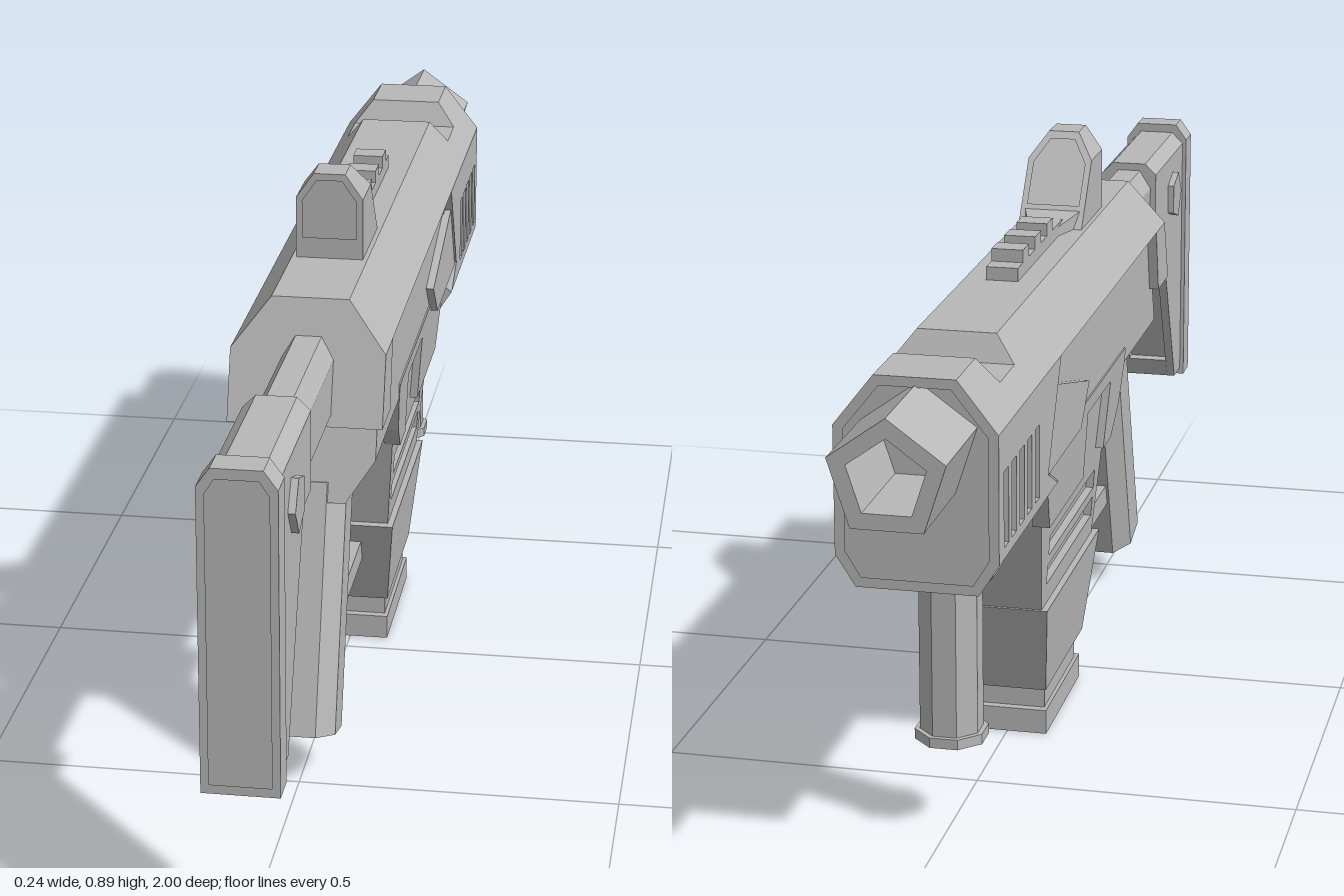
import * as THREE from 'three';

const grey = new THREE.MeshStandardMaterial({ color: 0xb8b8b8 });
grey.name = 'grey';

// Mirrored ring from half points [x, v]; place(x, v) gives the 3D position
const ring = (half, place) => [
  ...half.map(([x, v]) => place(x, v)),
  ...half.slice().reverse().map(([x, v]) => place(-x, v)),
];
// Ring standing upright at z (number or function of y)
const upright = (half, z) => ring(half, (x, y) => [x, y, typeof z === 'function' ? z(y) : z]);
// Flat rectangle at height y
const level = (y, z0, z1, x) => ring([[x, z0], [x, z1]], (px, z) => [px, y, z]);

// Closed faceted solid through rings of equal length
function loft(rings) {
  const tris = [];
  const n = rings[0].length;
  for (let i = 0; i + 1 < rings.length; i++) {
    for (let j = 0; j < n; j++) {
      const k = (j + 1) % n;
      const [a, b, c, d] = [rings[i][j], rings[i][k], rings[i + 1][k], rings[i + 1][j]];
      tris.push([a, b, c], [a, c, d]);
    }
  }
  [rings[0], rings[rings.length - 1]].forEach((r, end) => {
    const mid = [0, 1, 2].map((q) => r.reduce((s, p) => s + p[q], 0) / n);
    for (let j = 0; j < n; j++) {
      const k = (j + 1) % n;
      tris.push(end ? [mid, r[j], r[k]] : [mid, r[k], r[j]]);
    }
  });
  // Turn all faces outwards
  let volume = 0;
  const [u, v, w] = [0, 0, 0].map(() => new THREE.Vector3());
  const o = new THREE.Vector3(...rings[0][0]);
  for (const t of tris) {
    u.fromArray(t[0]).sub(o); v.fromArray(t[1]).sub(o); w.fromArray(t[2]).sub(o);
    volume += u.dot(v.cross(w));
  }
  if (volume < 0) tris.forEach((t) => t.reverse());
  const g = new THREE.BufferGeometry();
  g.setAttribute('position', new THREE.Float32BufferAttribute(tris.flat(2), 3));
  return g;
}

function extrude(points, holes, depth) {
  const s = new THREE.Shape(points.map((p) => new THREE.Vector2(...p)));
  s.holes = holes.map((h) => new THREE.Path(h.map((p) => new THREE.Vector2(...p))));
  return new THREE.ExtrudeGeometry(s, { depth, bevelEnabled: false });
}
// Side profile [z, y] extruded from x0 to x1
const sideways = (points, x0, x1, holes = []) =>
  extrude(points, holes, x1 - x0).rotateY(-Math.PI / 2).translate(x1, 0, 0);
const rect = (a0, a1, b0, b1) => [[a0, b0], [a1, b0], [a1, b1], [a0, b1]];
const mirrored = (half) => ring(half, (x, y) => [x, y]);

function warp(g, fn) {
  const p = g.attributes.position;
  for (let i = 0; i < p.count; i++) p.setXYZ(i, ...fn(p.getX(i), p.getY(i), p.getZ(i)));
  return g;
}

export function createModel() {
  const model = new THREE.Group();
  const add = (name, g) => {
    if (g.index) g = g.toNonIndexed();
    g.computeVertexNormals();
    const m = new THREE.Mesh(g, grey);
    m.name = name;
    model.add(m);
  };
  const box = (name, x, y0, y1, z0, z1) =>
    add(name, new THREE.BoxGeometry(2 * x, y1 - y0, z1 - z0).translate(0, (y0 + y1) / 2, (z0 + z1) / 2));
  const bothSides = (name, points, x0, x1, holes = [], fn = null) => {
    for (const [a, b] of [[x0, x1], [-x1, -x0]]) {
      const g = sideways(points, a, b, holes);
      add(name, fn ? warp(g, fn) : g);
    }
  };

  // Receiver: wide upper shell over a narrower lower body
  const rear = (y) => 0.37 + 0.35 * (0.757 - y);
  const shell = [[0.06, 0.757], [0.12, 0.68]];
  add('upperShell', loft([upright(shell, rear), upright(shell, -0.45)]));
  const cheek = [[0.12, 0.68], [0.12, 0.573]];
  add('rearBlock', loft([upright(cheek, rear), upright(cheek, (y) => 0.32 + 0.23 * (0.68 - y))]));
  const lower = [[0.104, 0.685], [0.104, 0.505], [0.06, 0.44]];
  add('lowerBody', loft([upright(lower, (y) => 0.37 + 0.34 * (0.573 - y)), upright(lower, -0.5)]));
  bothSides('sidePanel', [[-0.22, 0.575], [-0.28, 0.515], [-0.53, 0.515], [-0.46, 0.64]], 0.1, 0.117);

  // Handguard with a notch across the top and vented side plates
  const guard = (top, x) => [[x, top], [0.12, 0.68], [0.106, 0.68], [0.106, 0.487], [0.12, 0.487], [0.09, 0.44]];
  const full = guard(0.757, 0.06), notched = guard(0.717, 0.091);
  const guardRear = (y) => (y > 0.6 ? -0.44 : -0.46);
  add('handguard', loft([
    upright(full, guardRear), upright(full, -0.605), upright(notched, -0.625),
    upright(notched, -0.715), upright(full, -0.735), upright(full, -0.825),
  ]));
  const vents = [-0.603, -0.653, -0.702, -0.752, -0.8].map((z) => rect(z - 0.014, z + 0.014, 0.504, 0.617));
  bothSides('ventPlate', [[-0.44, 0.68], [-0.53, 0.52], [-0.465, 0.487], [-0.825, 0.487], [-0.825, 0.68]],
    0.106, 0.12, vents);
  add('handguardRim', extrude(
    mirrored([[0.06, 0.757], [0.12, 0.68], [0.12, 0.487], [0.09, 0.44]]),
    [mirrored([[0.052, 0.742], [0.105, 0.675], [0.105, 0.493], [0.082, 0.455]])], 0.02).translate(0, 0, -0.845));

  // Five-sided hollow barrel
  const pentagon = (r) => [0, 1, 2, 3, 4].map((i) => {
    const a = Math.PI / 2 + (i * 2 * Math.PI) / 5;
    return [r * Math.cos(a), 0.656 + r * Math.sin(a)];
  });
  add('barrel', extrude(pentagon(0.089), [pentagon(0.06)], 0.18).translate(0, 0, -1));

  // Sight with framed windows, and its tail on the rail
  const hood = [[0.025, 0.895], [0.053, 0.855], [0.053, 0.757]];
  const pane = [[0.02, 0.884], [0.043, 0.85], [0.043, 0.79]];
  const slope = (y) => 0.125 - 0.79 * (0.895 - y);
  add('sight', loft([upright(hood, 0.17), upright(hood, (y) => slope(y) + 0.012)]));
  const frame = () => extrude(mirrored(hood), [mirrored(pane)], 0.012);
  add('sightRearFrame', frame().translate(0, 0, 0.168));
  add('sightFrontFrame', warp(frame(), (x, y, z) => [x, y, z + slope(y)]));
  add('sightTail', loft([
    upright([[0.05, 0.785], [0.05, 0.75]], 0.05), upright([[0.025, 0.772], [0.025, 0.75]], -0.03),
  ]));
  box('rail', 0.025, 0.75, 0.778, -0.32, 0);
  for (const z of [-0.095, -0.18, -0.265]) box('railTooth', 0.025, 0.77, 0.798, z - 0.02, z + 0.02);

  // Magazine well: stepped skirt, core and grooved tapering sides
  bothSides('wellSkirt', [[0.125, 0.507], [0.098, 0.44], [0.05, 0.395], [-0.013, 0.395], [0.008, 0.505],
    [-0.17, 0.505], [-0.17, 0.395], [-0.417, 0.395], [-0.465, 0.49], [-0.465, 0.53], [0.125, 0.53]],
    0.07, 0.097, [], (x, y, z) => [x + Math.sign(x) * Math.max(0, y - 0.395) * 0.07, y, z]);
  add('wellCore', loft([level(0.505, 0.076, -0.44, 0.079), level(0.395, 0.05, -0.415, 0.071),
    level(0.235, 0.013, -0.362, 0.059)]));
  bothSides('wellSide', [[0.013, 0.235], [0.05, 0.395], [0.05, 0.505], [-0.415, 0.505], [-0.415, 0.395], [-0.362, 0.235]],
    0.07, 0.084, [rect(-0.34, -0.003, 0.273, 0.305), rect(-0.34, -0.003, 0.322, 0.354)],
    (x, y, z) => [x + Math.sign(x) * (y - 0.397) * 0.076, y, z]);
  add('magazine', loft([level(0.238, 0.03, -0.368, 0.082), level(0.08, -0.03, -0.308, 0.066)]));
  box('magazineNeck', 0.058, 0.03, 0.085, -0.283, -0.057);
  box('magazineFoot', 0.064, 0, 0.04, -0.297, -0.043);

  // Raked eight-sided grip, trigger and lower guard bar
  const gripHalf = [[0.031, 0], [0.057, 0.25], [0.057, 0.75], [0.031, 1]];
  add('grip', loft([
    ring(gripHalf, (x, s) => [x, 0.47, 0.265 + 0.142 * s]),
    ring(gripHalf, (x, s) => [x, 0.06 + 0.035 * s, 0.4 + 0.133 * s]),
  ]));
  add('trigger', sideways([[0.32, 0.45], [0.235, 0.45], [0.225, 0.4], [0.205, 0.37], [0.18, 0.352],
    [0.18, 0.337], [0.32, 0.337]], -0.018, 0.018));
  box('guardBar', 0.027, 0.166, 0.203, -0.02, 0.42);

  // Vertical foregrip
  const turned = (name, rTop, rBottom, y0, y1) =>
    add(name, new THREE.CylinderGeometry(rTop, rBottom, y1 - y0, 8)
      .rotateY(Math.PI / 8).translate(0, (y0 + y1) / 2, -0.655));
  turned('foregripCollar', 0.079, 0.079, 0.41, 0.445);
  turned('foregripTaper', 0.079, 0.06, 0.39, 0.41);
  turned('foregrip', 0.048, 0.048, 0.14, 0.4);
  turned('foregripFoot', 0.056, 0.056, 0.14, 0.156);

  // Stock: tube, body with recessed front slope, butt plate and pivots
  const tube = [[0.02, 0.702], [0.04, 0.67], [0.04, 0.59]];
  add('stockTube', loft([upright(tube, 0.7), upright(tube, 0.36)]));
  const stockTop = [[0.03, 0.715], [0.05, 0.695], [0.05, 0.573]];
  add('stockTop', loft([upright(stockTop, 0.96), upright(stockTop, 0.68)]));
  add('stockCore', sideways([[0.96, 0.58], [0.775, 0.58], [0.775, 0.56], [0.9, 0.285], [0.875, 0.285],
    [0.893, 0.25], [0.96, 0.25]], -0.036, 0.036));
  bothSides('stockSide', [[0.96, 0.58], [0.748, 0.58], [0.748, 0.573], [0.893, 0.25], [0.96, 0.25]], 0.035, 0.05);
  const butt = [[0.037, 0.73], [0.057, 0.702], [0.057, 0.238]];
  add('buttPlate', loft([upright(butt, 0.95), upright(butt, 0.99)]));
  add('buttFrame', extrude(mirrored(butt),
    [mirrored([[0.031, 0.714], [0.045, 0.692], [0.045, 0.252]])], 0.012).translate(0, 0, 0.988));
  add('stockPivot', new THREE.CylinderGeometry(0.044, 0.044, 0.122, 5)
    .rotateZ(Math.PI / 2).translate(0, 0.62, 0.84));

  return model;
}
